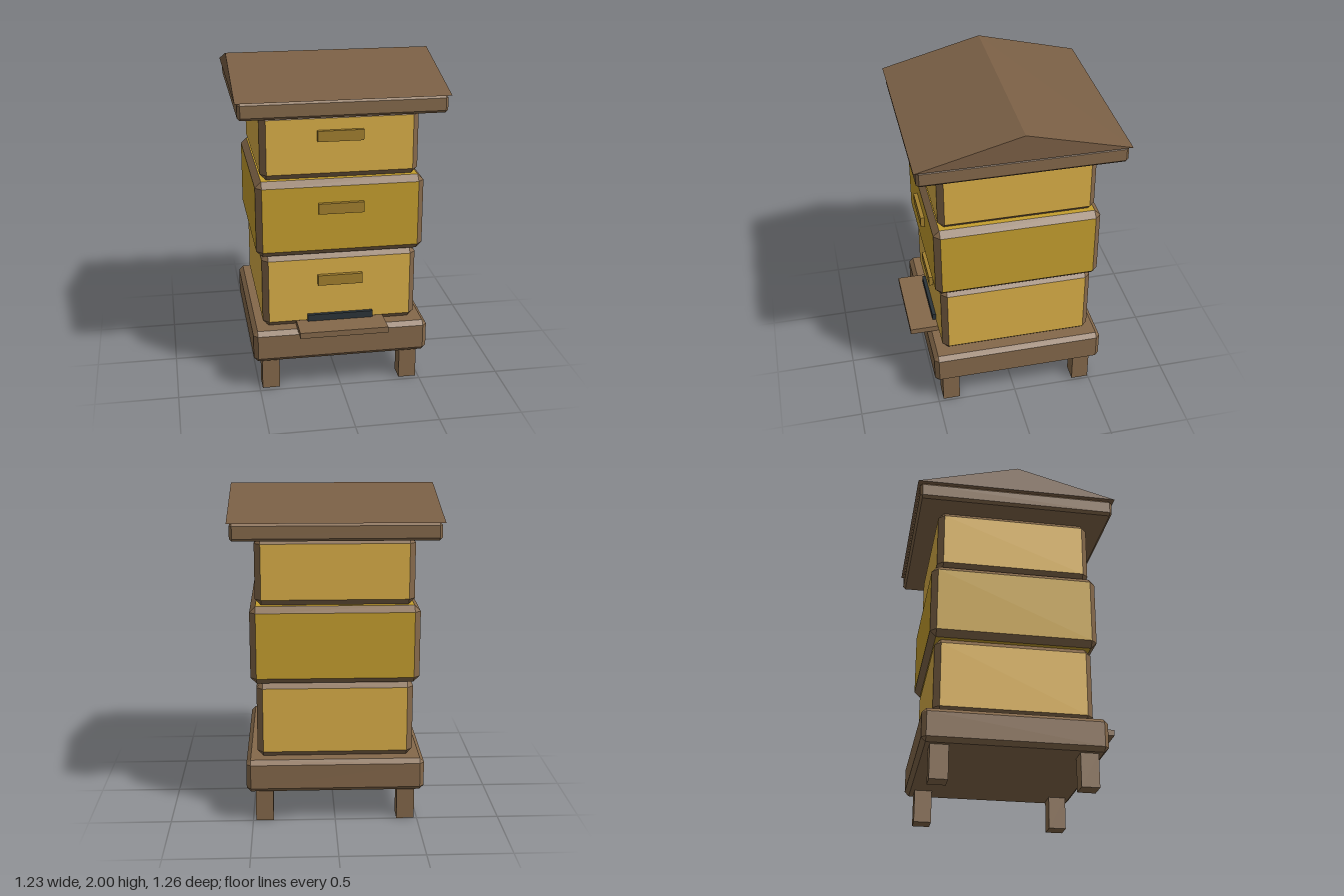
import * as THREE from 'three';

const mat = (color) => new THREE.MeshStandardMaterial({ color, flatShading: true });
const wood = mat(0x84684a), roofWood = mat(0x7a5f45), honey = mat(0xd9ae47),
  amber = mat(0xc49e2e), grip = mat(0xa17f2e), dark = mat(0x2b3338);

// Box with 45-degree bevels; group 0 holds the six faces, group 1 the bevels and corners
function bevelBox(w, h, d, c) {
  const half = [w / 2, h / 2, d / 2], S = [-1, 0, 1], faces = [], bevels = [];
  const corners = [];
  for (const x of [-1, 1]) for (const y of [-1, 1]) for (const z of [-1, 1]) corners.push([x, y, z]);
  for (const x of S) for (const y of S) for (const z of S) {
    const dir = [x, y, z], order = Math.abs(x) + Math.abs(y) + Math.abs(z);
    if (!order) continue;
    // points lying on the flat that faces along dir
    const pts = [];
    for (const s of corners) {
      if (!dir.every((v, i) => v === 0 || v === s[i])) continue;
      dir.forEach((v, a) => {
        if (v) pts.push(new THREE.Vector3(...s.map((k, i) => k * (half[i] - (i === a ? 0 : c)))));
      });
    }
    // order them counter-clockwise round the outward normal
    const n = new THREE.Vector3(...dir).normalize();
    const mid = pts.reduce((m, p) => m.add(p), new THREE.Vector3()).divideScalar(pts.length);
    const u = pts[0].clone().sub(mid).normalize(), v = n.clone().cross(u);
    const angle = (p) => { const q = p.clone().sub(mid); return Math.atan2(q.dot(v), q.dot(u)); };
    pts.sort((a, b) => angle(a) - angle(b));
    const out = order === 1 ? faces : bevels;
    for (let i = 1; i < pts.length - 1; i++)
      for (const p of [pts[0], pts[i], pts[i + 1]]) out.push(p.x, p.y, p.z);
  }
  const g = new THREE.BufferGeometry();
  g.setAttribute('position', new THREE.Float32BufferAttribute([...faces, ...bevels], 3));
  g.addGroup(0, faces.length / 3, 0);
  g.addGroup(faces.length / 3, bevels.length / 3, 1);
  g.computeVertexNormals();
  return g;
}

export function createModel() {
  const hive = new THREE.Group();
  hive.name = 'beehive';
  const body = new THREE.Group();
  body.name = 'body';
  body.position.z = -0.015;
  hive.add(body);

  const add = (name, geometry, material, x, y, z) => {
    const m = new THREE.Mesh(geometry, material);
    m.name = name;
    m.position.set(x, y, z);
    body.add(m);
    return m;
  };
  const box = (name, w, h, d, material, x, y, z) =>
    add(name, new THREE.BoxGeometry(w, h, d), material, x, y, z);

  // Legs and stand
  for (const x of [-1, 1]) for (const z of [-1, 1])
    box('leg', 0.107, 0.21, 0.107, wood, x * 0.429, 0.105, z * 0.429);
  add('stand', bevelBox(1.07, 0.2, 1.07, 0.026), [wood, wood], 0, 0.302, 0);

  // Stacked hive boxes, each with a handle on the front
  const tiers = [
    { name: 'lowerBox', size: 0.936, y0: 0.402, y1: 0.87, paint: honey, handleY: 0.702 },
    { name: 'middleBox', size: 1.002, y0: 0.87, y1: 1.337, paint: amber, handleY: 1.17 },
    { name: 'upperBox', size: 0.936, y0: 1.337, y1: 1.737, paint: honey, handleY: 1.6 },
  ];
  for (const t of tiers) {
    add(t.name, bevelBox(t.size, t.y1 - t.y0, t.size, 0.036), [t.paint, wood], 0, (t.y0 + t.y1) / 2, 0);
    box('handle', 0.27, 0.064, 0.04, grip, 0, t.handleY, t.size / 2 + 0.004);
  }

  // Entrance slot and landing board
  box('entrance', 0.4, 0.064, 0.04, dark, 0, 0.446, 0.47);
  box('landingBoard', 0.534, 0.036, 0.2, wood, 0, 0.419, 0.543);

  // Roof rim and gabled roof with the ridge along x
  add('roofRim', bevelBox(1.2, 0.104, 1.2, 0.016), [wood, wood], 0, 1.789, 0);
  const gable = new THREE.Shape([
    new THREE.Vector2(-0.614, 0), new THREE.Vector2(0.614, 0), new THREE.Vector2(0, 0.159)]);
  const roof = new THREE.ExtrudeGeometry(gable, { depth: 1.228, bevelEnabled: false });
  roof.translate(0, 0, -0.614).rotateY(Math.PI / 2);
  add('roof', roof, roofWood, 0, 1.841, 0);

  return hive;
}
